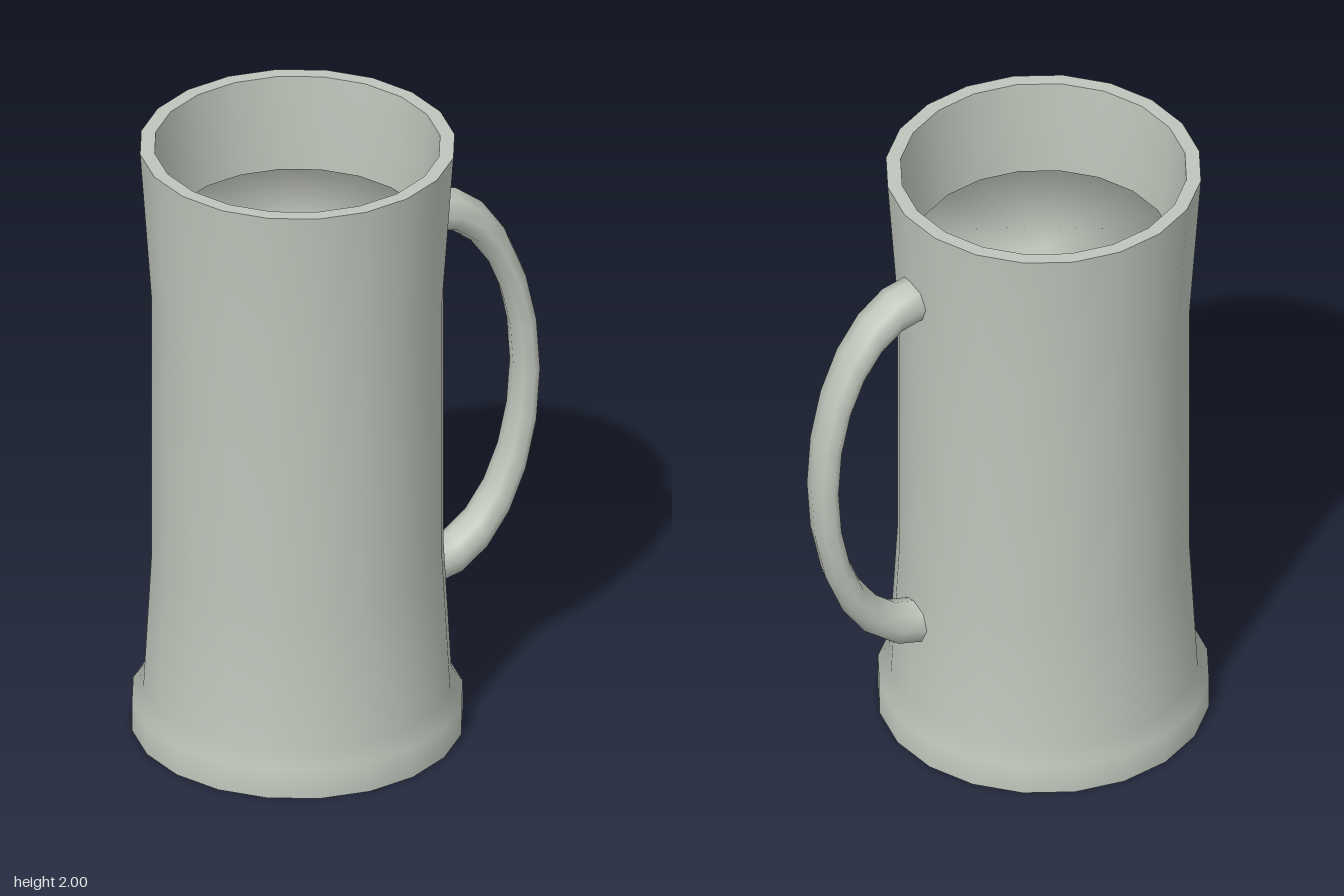
import * as THREE from 'three';

const SIDES = 20;
const AXIS_X = -0.153; // mug axis, shifted so that mug plus handle is centred

export function createModel() {
  const model = new THREE.Group();
  model.name = 'mug';
  const stoneware = new THREE.MeshStandardMaterial({ color: 0xbfc5bb });
  stoneware.name = 'greyGreenStoneware';

  const add = (name, geometry, x) => {
    const mesh = new THREE.Mesh(geometry, stoneware);
    mesh.name = name;
    mesh.position.x = x;
    model.add(mesh);
    return mesh;
  };
  // Each turned surface has its own smooth normals, so joins between them stay sharp
  const turned = (name, profile) =>
    add(name, new THREE.LatheGeometry(profile.map(([r, y]) => new THREE.Vector2(r, y)), SIDES), AXIS_X);

  // Waisted body with a flared foot
  turned('outerWall', [[0.51, 0], [0.51, 0.1], [0.475, 0.15], [0.45, 0.6], [0.45, 1.5], [0.485, 2]]);
  turned('rim', [[0.485, 2], [0.44, 2]]);
  turned('innerWall', [[0.44, 2], [0.405, 1.5], [0.405, 0.1]]);
  turned('base', [[0, 0], [0.51, 0]]);

  // Contents, filled to just below the rim
  turned('drink', [[0.4, 0.1], [0.4, 1.7], [0, 1.7]]);

  // Handle: half ring squashed sideways, its ends buried in the wall
  const ring = new THREE.TorusGeometry(0.615, 0.072, 8, 12, Math.PI);
  ring.rotateZ(-Math.PI / 2);
  ring.scale(0.535, 1, 1);
  add('handle', ring, 0.289).position.y = 1.06;

  return model;
}
